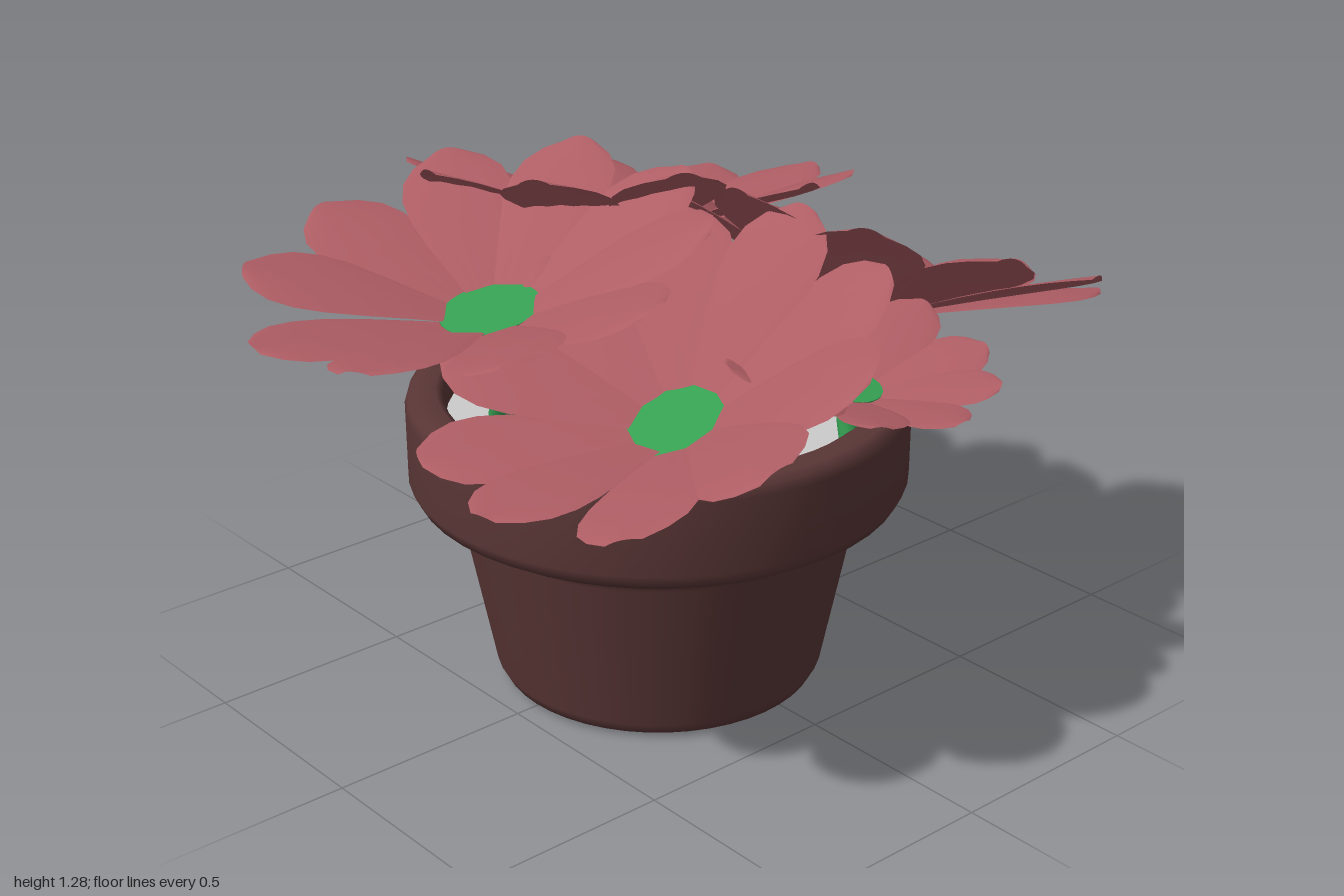
import * as THREE from 'three';

const material = (name, color, side = THREE.FrontSide) => {
  const m = new THREE.MeshStandardMaterial({ color, side });
  m.name = name;
  return m;
};

function add(parent, name, geometry, mat) {
  const mesh = new THREE.Mesh(geometry, mat);
  mesh.name = name;
  parent.add(mesh);
  return mesh;
}

// Petal along +x: [distance along length, half width], both relative to its length
const OUTLINE = [[0, 0.09], [0.15, 0.14], [0.35, 0.21], [0.55, 0.265], [0.7, 0.28],
  [0.83, 0.255], [0.93, 0.185], [1, 0.085]];

function petalGeometry(start, end) {
  const length = end - start, cols = 8, pos = [], index = [];
  OUTLINE.forEach(([s, w], i) => {
    for (let j = 0; j <= cols; j++) {
      const u = (j / cols) * 2 - 1;
      const groove = (j % 2 ? 0.006 : 0) * Math.sin(Math.PI * s);
      const y = length * (0.01 * Math.sin(Math.PI * s) - 0.02 * u * u * s + groove);
      pos.push(start + length * (s - 0.02 * u * u * s), y, u * w * length);
      if (i < OUTLINE.length - 1 && j < cols) {
        const a = i * (cols + 1) + j, b = a + cols + 1;
        index.push(a, a + 1, b, a + 1, b + 1, b);
      }
    }
  });
  const g = new THREE.BufferGeometry();
  g.setAttribute('position', new THREE.Float32BufferAttribute(pos, 3));
  g.setIndex(index);
  g.computeVertexNormals();
  return g;
}

// at: flower centre, tilt: sideways lean of its axis in x and z,
// rise: upward angle of the petals, phase: angle of the first petal
const FLOWERS = [
  { name: 'leftBackFlower', at: [-0.44, 0.97, -0.14], tilt: [-0.22, 0], rise: 20, reach: 0.585, disc: 0.118, phase: 168, stem: 0.032, root: [-0.36, -0.22] },
  { name: 'backFlower', at: [0.14, 0.972, -0.345], tilt: [0.19, -0.19], rise: 19.5, reach: 0.59, disc: 0.118, phase: 99, stem: 0.032, root: [0.1, -0.37] },
  { name: 'rightFlower', at: [0.42, 0.87, 0.215], tilt: [0.41, -0.1], rise: 21.5, reach: 0.59, disc: 0.118, phase: 2, stem: 0.032, root: [0.32, 0.24] },
  { name: 'leftFrontFlower', at: [-0.31, 0.825, 0.36], tilt: [-0.45, 0], rise: 22.5, reach: 0.585, disc: 0.118, phase: 184, stem: 0.032, root: [-0.24, 0.35] },
  { name: 'smallFrontFlower', at: [0.1, 0.83, 0.49], tilt: [0.02, 0.2], rise: 20, reach: 0.345, disc: 0.068, phase: 270, stem: 0.024, root: [0.09, 0.46] },
  { name: 'smallBackFlower', at: [-0.21, 0.82, -0.41], tilt: [0.04, 0.06], rise: 20, reach: 0.32, disc: 0.064, phase: 20, stem: 0.02, root: [-0.18, -0.4] },
];

export function createModel() {
  const model = new THREE.Group();
  model.name = 'pottedFlowers';
  const clay = material('clay', 0x5a3636);
  const soilGrey = material('soilGrey', 0xcccccc);
  const petalPink = material('petalPink', 0xae5d64, THREE.DoubleSide);
  const leafGreen = material('leafGreen', 0x35a052);

  // Pot with thick rim, open at the top
  const pot = new THREE.Group();
  pot.name = 'pot';
  pot.position.set(-0.065, 0, 0.01);
  model.add(pot);
  const profile = [[0, 0], [0.36, 0], [0.385, 0.012], [0.4, 0.04], [0.477, 0.43], [0.488, 0.455],
    [0.545, 0.475], [0.582, 0.498], [0.598, 0.53], [0.599, 0.705], [0.592, 0.728], [0.575, 0.742],
    [0.525, 0.742], [0.508, 0.73], [0.5, 0.62]].map(([x, y]) => new THREE.Vector2(x, y));
  add(pot, 'potShell', new THREE.LatheGeometry(profile, 48), clay);
  const soil = add(pot, 'soil', new THREE.CircleGeometry(0.506, 48), soilGrey);
  soil.rotation.x = -Math.PI / 2;
  soil.position.y = 0.67;

  const up = new THREE.Vector3(0, 1, 0);
  for (const f of FLOWERS) {
    const centre = new THREE.Vector3(...f.at);
    const axis = new THREE.Vector3(f.tilt[0], 1, f.tilt[1]).normalize();

    // Bent stem from the soil to the underside of the flower
    const neck = centre.clone().addScaledVector(axis, -0.07);
    const root = new THREE.Vector3(f.root[0], 0.64, f.root[1]);
    const curve = new THREE.CatmullRomCurve3([root,
      root.clone().lerp(neck, 0.5).add(new THREE.Vector3(0, 0, 0.02)), neck, centre]);
    add(model, f.name + 'Stem', new THREE.TubeGeometry(curve, 16, f.stem, 10), leafGreen);

    const flower = new THREE.Group();
    flower.name = f.name;
    flower.position.copy(centre);
    flower.quaternion.setFromUnitVectors(up, axis);
    model.add(flower);

    // Thin flat flower centre
    add(flower, 'flowerCentre', new THREE.CylinderGeometry(f.disc, f.disc, 0.016, 30), leafGreen);

    // Ring of ten petals from the edge of the centre, slightly rolled so that neighbours overlap
    const geometry = petalGeometry(f.disc * 0.93, f.reach);
    for (let k = 0; k < 10; k++) {
      const petal = add(flower, 'petal', geometry, petalPink);
      petal.position.y = -f.disc * 0.28;
      petal.rotation.order = 'YZX';
      petal.rotation.set(0.05, THREE.MathUtils.degToRad(f.phase + k * 36),
        THREE.MathUtils.degToRad(f.rise + 1.5 * Math.sin(k * 2.4 + f.phase)));
    }
  }
  return model;
}
